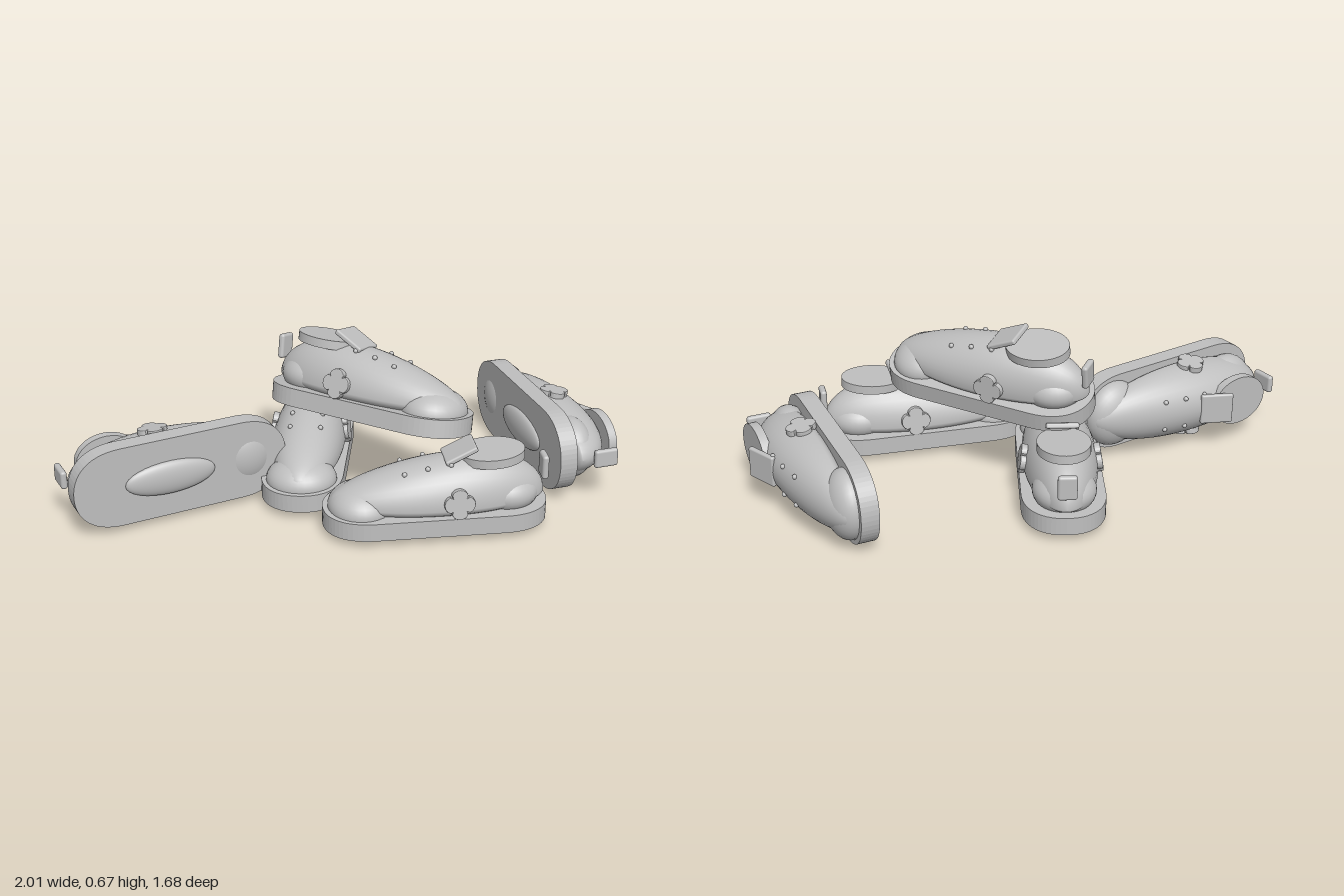
import * as THREE from 'three';
import { RoundedBoxGeometry } from 'three/addons/geometries/RoundedBoxGeometry.js';

const grey = new THREE.MeshStandardMaterial({ color: 0xbfbfbf });
grey.name = 'plain grey';

// Adds a named mesh; local shoe frame: +x toe, +y up, z across.
function add(parent, name, geometry, x = 0, y = 0, z = 0, tiltZ = 0) {
  const mesh = new THREE.Mesh(geometry, grey);
  mesh.name = name;
  mesh.position.set(x, y, z);
  mesh.rotation.z = tiltZ;
  parent.add(mesh);
  return mesh;
}

const ellipsoid = (a, b, c) => new THREE.SphereGeometry(1, 32, 20).scale(a, b, c);

// Flat outsole with blunt rounded ends
function soleGeometry() {
  const s = new THREE.Shape();
  s.moveTo(-0.25, -0.165);
  s.lineTo(0.25, -0.165);
  s.bezierCurveTo(0.37, -0.165, 0.44, -0.1, 0.44, 0);
  s.bezierCurveTo(0.44, 0.1, 0.37, 0.165, 0.25, 0.165);
  s.lineTo(-0.25, 0.165);
  s.bezierCurveTo(-0.37, 0.165, -0.44, 0.1, -0.44, 0);
  s.bezierCurveTo(-0.44, -0.1, -0.37, -0.165, -0.25, -0.165);
  const g = new THREE.ExtrudeGeometry(s, { depth: 0.073, bevelEnabled: false, curveSegments: 14 });
  return g.rotateX(-Math.PI / 2);
}

// Sphere reshaped so the upper is high at the heel and slopes to the toe
function upperGeometry() {
  const g = new THREE.SphereGeometry(1, 36, 28).rotateZ(Math.PI / 2);
  const p = g.attributes.position;
  for (let i = 0; i < p.count; i++) {
    const x = p.getX(i), y = p.getY(i), z = p.getZ(i);
    const height = y > 0 ? 0.162 - 0.055 * x : 0.06;
    p.setXYZ(i, -0.01 + 0.42 * x, 0.1 + y * height, z * 0.15);
  }
  g.computeVertexNormals();
  return g;
}

// Four-petal ornament
function flowerGeometry() {
  const pts = [];
  for (let i = 0; i < 48; i++) {
    const a = (i / 48) * Math.PI * 2;
    const r = 0.036 + 0.021 * Math.sqrt(Math.abs(Math.cos(2 * a)));
    pts.push(new THREE.Vector2(r * Math.cos(a), r * Math.sin(a)));
  }
  return new THREE.ExtrudeGeometry(new THREE.Shape(pts), {
    depth: 0.018, bevelThickness: 0.004, bevelSize: 0.003, bevelSegments: 2,
  }).translate(0, 0, -0.009);
}

const parts = {
  sole: soleGeometry(),
  arch: ellipsoid(0.185, 0.03, 0.07),
  upper: upperGeometry(),
  toeCap: ellipsoid(0.13, 0.088, 0.142),
  heel: ellipsoid(0.13, 0.085, 0.125),
  collar: new THREE.CylinderGeometry(1, 1, 0.036, 40).scale(0.13, 1, 0.105),
  tongue: new RoundedBoxGeometry(0.135, 0.022, 0.13, 3, 0.008),
  pullTab: new RoundedBoxGeometry(0.026, 0.1, 0.075, 3, 0.011),
  eyelet: new THREE.SphereGeometry(0.01, 12, 8),
  flower: flowerGeometry(),
};

function createShoe() {
  const shoe = new THREE.Group();
  add(shoe, 'sole', parts.sole);
  add(shoe, 'archPad', parts.arch, -0.05, 0, 0);
  add(shoe, 'upper', parts.upper);
  add(shoe, 'toeCap', parts.toeCap, 0.29, 0.075, 0);
  add(shoe, 'heelCounter', parts.heel, -0.28, 0.11, 0);
  add(shoe, 'collar', parts.collar, -0.22, 0.265, 0, -0.05);
  add(shoe, 'tongue', parts.tongue, -0.092, 0.285, 0, -0.46);
  add(shoe, 'pullTab', parts.pullTab, -0.43, 0.2, 0);
  for (const side of [1, -1]) {
    // Eyelet rows, seated on the curve of the upper
    for (const x of [-0.05, 0.04, 0.13]) {
      const k = (x + 0.01) / 0.42, w = 0.062;
      const y = 0.1 + (0.162 - 0.055 * k) * Math.sqrt(1 - k * k - (w / 0.15) ** 2);
      add(shoe, 'eyelet', parts.eyelet, x, y + 0.002, side * w);
    }
    const flower = add(shoe, 'flower', parts.flower, -0.07, 0.13, side * 0.15);
    flower.rotation.x = -side * 0.15;
  }
  return shoe;
}

// Position of the sole centre, toe direction and up direction of each shoe
const placements = [
  ['backShoe', [-0.255, 0.033, -0.07], [0.31, 0, 0.95], [0, 1, 0]],
  ['frontShoe', [0.388, 0.033, 0.17], [-0.866, 0, 0.5], [0, 1, 0]],
  ['topShoe', [0.05, 0.35, 0.012], [0.982, 0.037, 0.183], [0, 0.978, -0.208]],
  ['sideShoeRight', [-0.535, 0.197, 0.505], [0.648, 0, -0.762], [-0.762, 0, -0.648]],
  ['sideShoeLeft', [0.525, 0.188, -0.455], [-0.648, -0.03, -0.762], [0.762, 0, -0.648]],
];

export function createModel() {
  const model = new THREE.Group();
  model.name = 'shoePile';
  for (const [name, position, toe, up] of placements) {
    const shoe = createShoe();
    shoe.name = name;
    const x = new THREE.Vector3(...toe).normalize();
    const z = new THREE.Vector3().crossVectors(x, new THREE.Vector3(...up)).normalize();
    const y = new THREE.Vector3().crossVectors(z, x);
    shoe.quaternion.setFromRotationMatrix(new THREE.Matrix4().makeBasis(x, y, z));
    shoe.position.set(...position);
    model.add(shoe);
  }
  return model;
}
